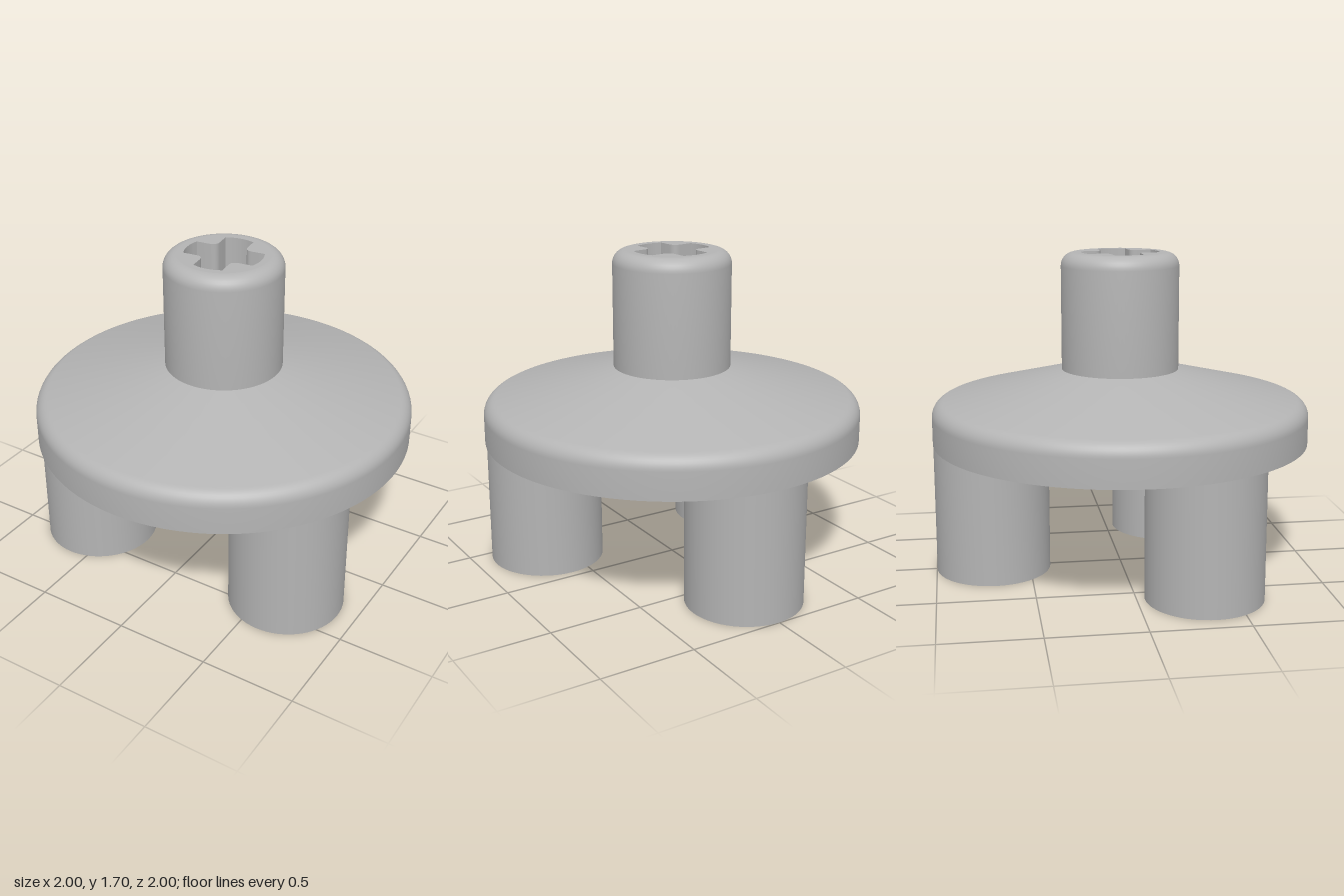
import * as THREE from 'three';
import { toCreasedNormals } from 'three/addons/utils/BufferGeometryUtils.js';

// Points along a circular arc, angles in degrees
function arc(cx, cy, r, from, to, steps = 8) {
  const pts = [];
  for (let i = 0; i <= steps; i++) {
    const a = THREE.MathUtils.degToRad(from + ((to - from) * i) / steps);
    pts.push(new THREE.Vector2(cx + r * Math.cos(a), cy + r * Math.sin(a)));
  }
  return pts;
}

const p = (x, y) => new THREE.Vector2(x, y);
const lathe = (pts, segments) => toCreasedNormals(new THREE.LatheGeometry(pts, segments), 0.5);

export function createModel() {
  const model = new THREE.Group();
  const grey = new THREE.MeshStandardMaterial({ color: 0xb4b4b4 });
  grey.name = 'plain grey';

  const add = (name, geometry) => {
    const mesh = new THREE.Mesh(geometry, grey);
    mesh.name = name;
    model.add(mesh);
    return mesh;
  };

  // Domed disc and stem, with a flared round bore underneath
  add('discAndStem', lathe([
    p(0.21, 1.08),
    ...arc(0.41, 0.9, 0.2, 180, 270),
    p(1, 0.7),
    ...arc(0.92, 0.845, 0.08, 0, 76),
    p(0.31, 1.08),
    ...arc(0.24, 1.625, 0.07, 0, 90),
  ], 96));

  // Stem core with a cross-shaped axle hole, its inner corners rounded
  const w = 0.078, round = 0.035, R = 0.205;
  const tip = THREE.MathUtils.radToDeg(Math.asin(w / R));
  const cross = [];
  for (let i = 0; i < 4; i++) {
    const c = w + round;
    const arm = [...arc(0, 0, R, -tip, tip, 6), ...arc(c, c, round, 270, 180, 6)];
    const turn = THREE.MathUtils.degToRad(7 + 90 * i);
    cross.push(...arm.map((v) => v.rotateAround(p(0, 0), turn)));
  }
  const coreShape = new THREE.Shape().absarc(0, 0, 0.24, 0, Math.PI * 2);
  coreShape.holes.push(new THREE.Path(cross));
  const core = new THREE.ExtrudeGeometry(coreShape, { depth: 0.615, bevelEnabled: false, curveSegments: 96 });
  core.rotateX(-Math.PI / 2).translate(0, 1.08, 0);
  add('crossHoleCore', toCreasedNormals(core, 0.5));

  // Three hollow legs with flared sockets, evenly spaced around the disc
  const legGeometry = lathe([
    p(0.15, 0.7),
    ...arc(0.25, 0.1, 0.1, 180, 270),
    p(0.305, 0),
    p(0.305, 0.7),
  ], 64);
  ['backLeg', 'frontLeftLeg', 'frontRightLeg'].forEach((name, i) => {
    const a = Math.PI + (i * Math.PI * 2) / 3;
    const leg = add(name, legGeometry);
    leg.position.set(-0.693 * Math.sin(a), 0, 0.693 * Math.cos(a));
  });

  return model;
}
